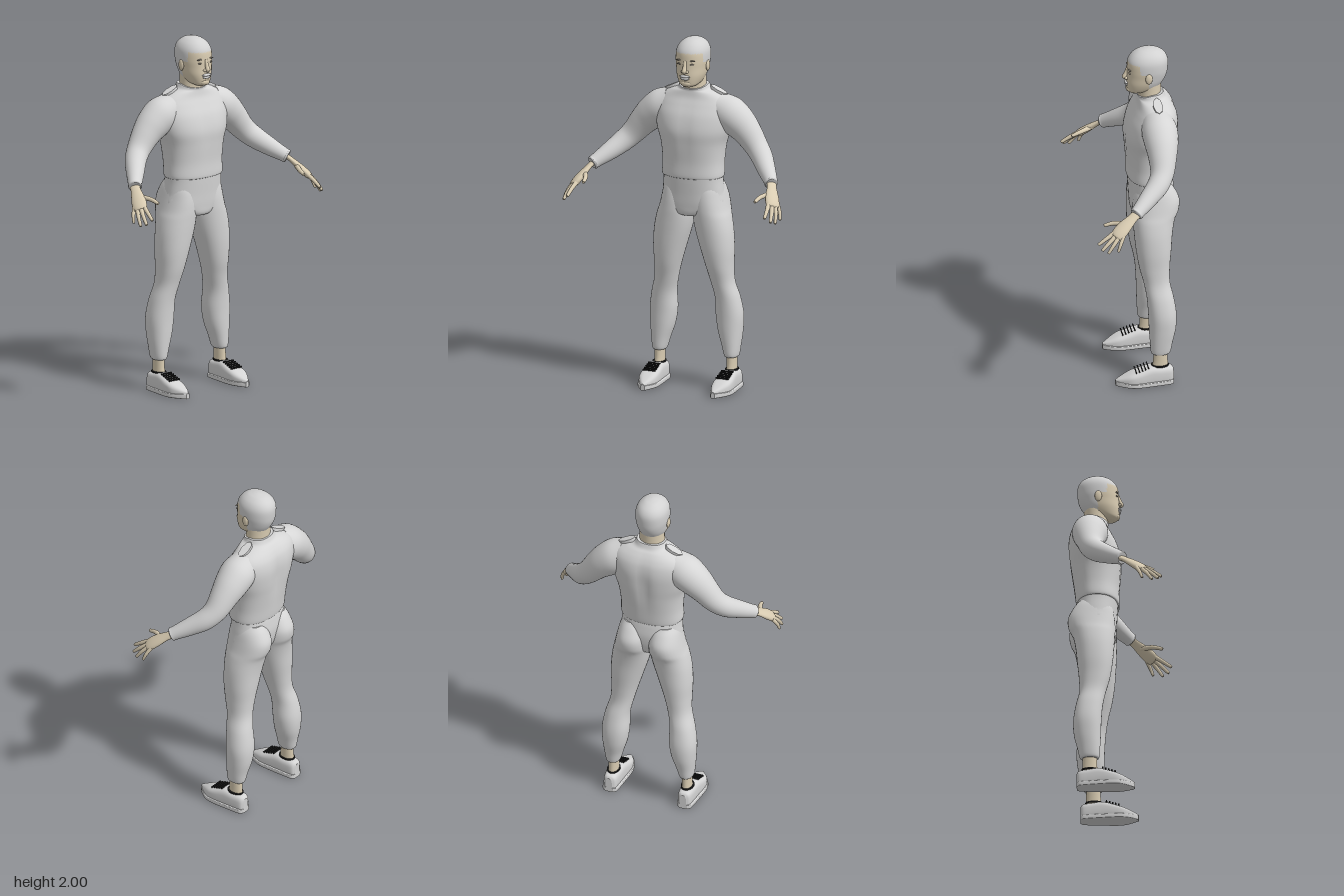
import * as THREE from 'three';

const V = (x, y, z) => new THREE.Vector3(x, y, z);
const material = (name, color) => {
  const m = new THREE.MeshStandardMaterial({ color });
  m.name = name;
  return m;
};

// Smooth skin over cross-sections {c, u, v}; u x v points along the path.
// e < 1 squares the section, shape(p) moves points, pick(p) sorts faces into material groups.
function loft(sections, { seg = 32, sub = 5, e = 1, shape, pick } = {}) {
  const curve = (k) => new THREE.CatmullRomCurve3(sections.map((s) => s[k]), false, 'catmullrom', 0.5);
  const [C, U, W] = ['c', 'u', 'v'].map(curve);
  const rows = (sections.length - 1) * sub;
  const pts = [];
  const pw = (n) => Math.sign(n) * Math.abs(n) ** e;
  for (let i = 0; i <= rows; i++) {
    const t = i / rows, c = C.getPoint(t), u = U.getPoint(t), v = W.getPoint(t);
    for (let j = 0; j < seg; j++) {
      const a = (j / seg) * Math.PI * 2;
      const p = c.clone().addScaledVector(u, pw(Math.cos(a))).addScaledVector(v, pw(Math.sin(a)));
      if (shape) shape(p);
      pts.push(p);
    }
  }
  const groups = [[], []];
  const tri = (a, b, c) => {
    const mid = pts[a].clone().add(pts[b]).add(pts[c]).divideScalar(3);
    groups[pick ? pick(mid) : 0].push(a, b, c);
  };
  for (let i = 0; i < rows; i++) {
    for (let j = 0; j < seg; j++) {
      const a = i * seg + j, b = i * seg + ((j + 1) % seg);
      tri(a, b, a + seg);
      tri(b, b + seg, a + seg);
    }
  }
  // End caps with their own corners so the rims stay sharp
  for (const [row, flip] of [[0, true], [rows, false]]) {
    const ring = pts.slice(row * seg, row * seg + seg);
    const mid = ring.reduce((s, p) => s.add(p), V(0, 0, 0)).divideScalar(seg);
    const k = pts.length;
    pts.push(mid, ...ring.map((p) => p.clone()));
    for (let j = 0; j < seg; j++) {
      const a = k + 1 + j, b = k + 1 + ((j + 1) % seg);
      if (flip) tri(k, b, a); else tri(k, a, b);
    }
  }
  const g = new THREE.BufferGeometry().setFromPoints(pts);
  g.setIndex([...groups[0], ...groups[1]]);
  if (pick) {
    g.addGroup(0, groups[0].length, 0);
    g.addGroup(groups[0].length, groups[1].length, 1);
  }
  g.computeVertexNormals();
  return g;
}

// Upright stack: rows of [y, x0, x1, zBack, zFront], from the bottom up
const stack = (rows, opts) => loft(rows.map(([y, x0, x1, z0, z1]) => ({
  c: V((x0 + x1) / 2, y, (z0 + z1) / 2), u: V((x1 - x0) / 2, 0, 0), v: V(0, 0, -(z1 - z0) / 2),
})), opts);
const centred = (rows, opts) => stack(rows.map(([y, r, z0, z1]) => [y, -r, r, z0, z1]), opts);

// Round limb along a path: rows of [x, y, z, radius]; 'wide' sets a flattened section
function limb(rows, opts = {}) {
  const { wide = V(0, 0, 1), flat = 1 } = opts;
  const ps = rows.map((r) => V(r[0], r[1], r[2]));
  return loft(rows.map((r, i) => {
    const d = ps[Math.min(i + 1, ps.length - 1)].clone().sub(ps[Math.max(i - 1, 0)]).normalize();
    const u = wide.clone().addScaledVector(d, -wide.dot(d)).normalize();
    const v = d.clone().cross(u);
    return { c: ps[i], u: u.multiplyScalar(r[3]), v: v.multiplyScalar(r[3] * flat) };
  }), opts);
}

const ball = (x, y, z, rx, ry, rz) => new THREE.SphereGeometry(1, 20, 14).scale(rx, ry, rz).translate(x, y, z);

function mirrored(geometry) {
  const g = geometry.clone();
  for (const key of ['position', 'normal']) {
    const a = g.attributes[key];
    for (let i = 0; i < a.count; i++) a.setX(i, -a.getX(i));
  }
  const ix = Array.from(g.index.array);
  for (let i = 0; i < ix.length; i += 3) [ix[i], ix[i + 1]] = [ix[i + 1], ix[i]];
  g.setIndex(ix);
  return g;
}

export function createModel() {
  const cloth = material('pale grey cloth', 0xd6d6d6);
  const skin = material('skin', 0xd9ccb2);
  const hair = material('pale grey hair', 0xd2d2d2);
  const shoe = material('shoe grey', 0xd4d4d4);
  const dark = material('black laces', 0x1c1c1c);
  const brow = material('brow grey', 0x8c857a);

  const model = new THREE.Group();
  model.name = 'standingFigure';
  const add = (name, geometry, mat) => {
    const m = new THREE.Mesh(geometry, mat);
    m.name = name;
    model.add(m);
  };
  const pair = (name, geometry, mat) => {
    add(name + 'Left', geometry, mat);
    add(name + 'Right', mirrored(geometry), mat);
  };

  // Jumper body, with a groove down the spine and a soft hollow on the breastbone
  add('jumperBody', centred([
    [1.21, 0.168, -0.222, 0.004], [1.222, 0.178, -0.229, 0.012], [1.3, 0.177, -0.24, 0.012],
    [1.4, 0.188, -0.256, 0.02], [1.48, 0.212, -0.267, 0.024], [1.56, 0.225, -0.272, 0.006],
    [1.62, 0.22, -0.264, -0.022], [1.66, 0.195, -0.247, -0.042], [1.69, 0.145, -0.225, -0.05],
    [1.708, 0.098, -0.207, -0.052], [1.735, 0.083, -0.195, -0.05],
  ], {
    seg: 48, e: 0.88,
    shape: (p) => {
      const mid = Math.exp(-((p.x / 0.035) ** 2));
      const h = Math.exp(-(((p.y - 1.5) / 0.15) ** 2));
      p.z += (p.z < -0.12 ? 0.016 : -0.006) * mid * h;
      if (p.y > 1.7 && p.z > -0.12) p.y -= ((p.y - 1.7) / 0.035) * (p.z + 0.12) * 0.3;
    },
  }), cloth);

  // Sleeves
  pair('sleeve', limb([
    [0.13, 1.61, -0.14, 0.085], [0.2, 1.575, -0.142, 0.1], [0.26, 1.53, -0.142, 0.094],
    [0.315, 1.477, -0.138, 0.08], [0.375, 1.405, -0.125, 0.066], [0.425, 1.355, -0.09, 0.06],
    [0.48, 1.306, -0.025, 0.05], [0.53, 1.265, 0.035, 0.039], [0.539, 1.257, 0.048, 0.039],
    [0.543, 1.254, 0.053, 0.033],
  ]), cloth);

  // Shoulder pads, tilted with the slope of the shoulder
  pair('shoulderPad', new THREE.CylinderGeometry(1, 1, 0.022, 8).scale(0.055, 1, 0.026)
    .rotateZ(-0.42).translate(0.137, 1.696, -0.143), cloth);

  // Trousers: hips, then legs that also form the seat
  add('trouserHips', centred([
    [0.985, 0.03, -0.15, -0.05], [1.0, 0.1, -0.2, -0.014], [1.05, 0.182, -0.222, -0.006],
    [1.12, 0.178, -0.232, -0.002], [1.18, 0.172, -0.228, 0.002], [1.216, 0.17, -0.223, 0.004],
  ], { seg: 40, e: 0.88 }), cloth);
  pair('trouserLeg', stack([
    [0.182, 0.183, 0.249, -0.188, -0.1], [0.194, 0.176, 0.257, -0.2, -0.09], [0.25, 0.16, 0.265, -0.212, -0.086],
    [0.33, 0.135, 0.273, -0.231, -0.082], [0.42, 0.122, 0.276, -0.236, -0.079], [0.52, 0.122, 0.26, -0.222, -0.072],
    [0.61, 0.104, 0.236, -0.204, -0.057], [0.7, 0.08, 0.233, -0.206, -0.035], [0.8, 0.05, 0.236, -0.216, -0.02],
    [0.9, 0.02, 0.23, -0.226, -0.012], [0.98, 0.003, 0.215, -0.242, -0.008], [1.03, 0, 0.2, -0.265, -0.007],
    [1.09, 0.002, 0.186, -0.27, -0.01], [1.15, 0.012, 0.172, -0.243, -0.02], [1.19, 0.03, 0.155, -0.215, -0.04],
  ], { e: 0.92 }), cloth);
  pair('ankle', stack([
    [0.06, 0.188, 0.25, -0.19, -0.08], [0.12, 0.19, 0.246, -0.185, -0.1], [0.21, 0.188, 0.246, -0.182, -0.105],
  ]), skin);

  // Shoes: rows of [z, x0, x1, top], from heel to toe
  const last = [
    [-0.215, 0.198, 0.242, 0.088], [-0.2, 0.18, 0.26, 0.102], [-0.15, 0.173, 0.268, 0.108],
    [-0.09, 0.168, 0.274, 0.114], [-0.02, 0.163, 0.28, 0.092], [0.03, 0.166, 0.274, 0.074],
    [0.08, 0.184, 0.245, 0.05], [0.108, 0.202, 0.222, 0.036],
  ];
  const along = (top, grow) => last.map(([z, x0, x1, h]) => ({
    c: V((x0 + x1) / 2, top(h) / 2, z), u: V((x1 - x0) / 2 + grow, 0, 0), v: V(0, top(h) / 2, 0),
  }));
  pair('shoeUpper', loft(along((h) => h, -0.004), { e: 0.65 }), shoe);
  pair('shoeSole', loft(along(() => 0.028, 0.002), { e: 0.3 }), shoe);
  for (let i = 0; i < 5; i++) {
    const z = -0.002 - i * 0.017;
    pair('lace' + (i + 1), new THREE.BoxGeometry(0.076 - i * 0.001, 0.008, 0.007)
      .rotateX(0.3).translate(0.221, 0.089 + i * 0.0058, z), dark);
  }
  pair('shoeOpening', new THREE.CylinderGeometry(1, 1, 0.008, 20).scale(0.036, 1, 0.05)
    .translate(0.219, 0.111, -0.14), dark);

  // Hands: flattened palm, four fingers and a thumb
  const across = V(0.045, -0.015, -0.05);
  pair('palm', limb([
    [0.535, 1.262, 0.035, 0.03], [0.553, 1.24, 0.07, 0.028], [0.573, 1.207, 0.113, 0.038],
    [0.59, 1.178, 0.148, 0.042], [0.602, 1.158, 0.17, 0.036], [0.605, 1.152, 0.177, 0.02],
  ], { wide: across, flat: 0.5, seg: 20 }), skin);
  const digits = {
    indexFinger: [[0.578, 1.178, 0.168], [0.59, 1.146, 0.222], [0.596, 1.115, 0.268], 0.0115],
    middleFinger: [[0.594, 1.17, 0.162], [0.614, 1.13, 0.212], [0.624, 1.092, 0.252], 0.0115],
    ringFinger: [[0.607, 1.166, 0.15], [0.63, 1.122, 0.19], [0.639, 1.08, 0.22], 0.011],
    littleFinger: [[0.615, 1.165, 0.133], [0.637, 1.125, 0.153], [0.645, 1.088, 0.167], 0.01],
    thumb: [[0.563, 1.212, 0.105], [0.53, 1.205, 0.17], [0.519, 1.19, 0.222], 0.0125],
  };
  for (const [name, [a, b, c, r]] of Object.entries(digits)) {
    const tip = c.map((n, i) => n + (c[i] - b[i]) * 0.08);
    pair(name, limb([[...a, r * 1.2], [...b, r], [...c, r * 0.75], [...tip, r * 0.25]],
      { wide: across, seg: 12 }), skin);
  }

  // Neck and head; the hair is the upper and rear part of the skull
  add('neck', centred([[1.67, 0.078, -0.185, -0.055], [1.73, 0.071, -0.183, -0.053], [1.8, 0.07, -0.185, -0.05]]), skin);
  add('head', centred([
    [1.733, 0.028, -0.06, -0.012], [1.745, 0.05, -0.11, 0.004], [1.765, 0.066, -0.165, 0.01], [1.8, 0.08, -0.195, 0.012],
    [1.84, 0.087, -0.214, 0.009], [1.88, 0.092, -0.221, 0.007], [1.93, 0.09, -0.221, 0.002],
    [1.965, 0.074, -0.204, -0.02], [1.988, 0.047, -0.172, -0.052], [1.997, 0.022, -0.14, -0.085], [2.0, 0.002, -0.115, -0.111],
  ], {
    seg: 64, sub: 6, e: 0.94,
    pick: (p) => (p.y > 1.925 || (p.y > 1.765 && p.z < -0.105) || (p.y > 1.875 && p.z < -0.055) ? 1 : 0),
  }), [skin, hair]);
  pair('ear', ball(0.09, 1.848, -0.102, 0.01, 0.032, 0.02).rotateY(0), skin);

  // Face
  add('noseBridge', limb([[0, 1.885, 0.002, 0.009], [0, 1.85, 0.014, 0.011], [0, 1.83, 0.022, 0.013], [0, 1.82, 0.014, 0.01]],
    { wide: V(1, 0, 0), seg: 16 }), skin);
  pair('nostril', ball(0.014, 1.826, 0.012, 0.009, 0.008, 0.011), skin);
  add('upperLip', ball(0, 1.799, 0.012, 0.032, 0.008, 0.01), hair);
  add('lowerLip', ball(0, 1.786, 0.011, 0.026, 0.008, 0.01), hair);
  add('chin', ball(0, 1.757, -0.006, 0.032, 0.02, 0.02), skin);
  pair('eye', ball(0.036, 1.867, -0.002, 0.015, 0.0045, 0.006), brow);
  pair('eyebrow', ball(0.037, 1.888, -0.002, 0.021, 0.004, 0.006), brow);

  return model;
}
